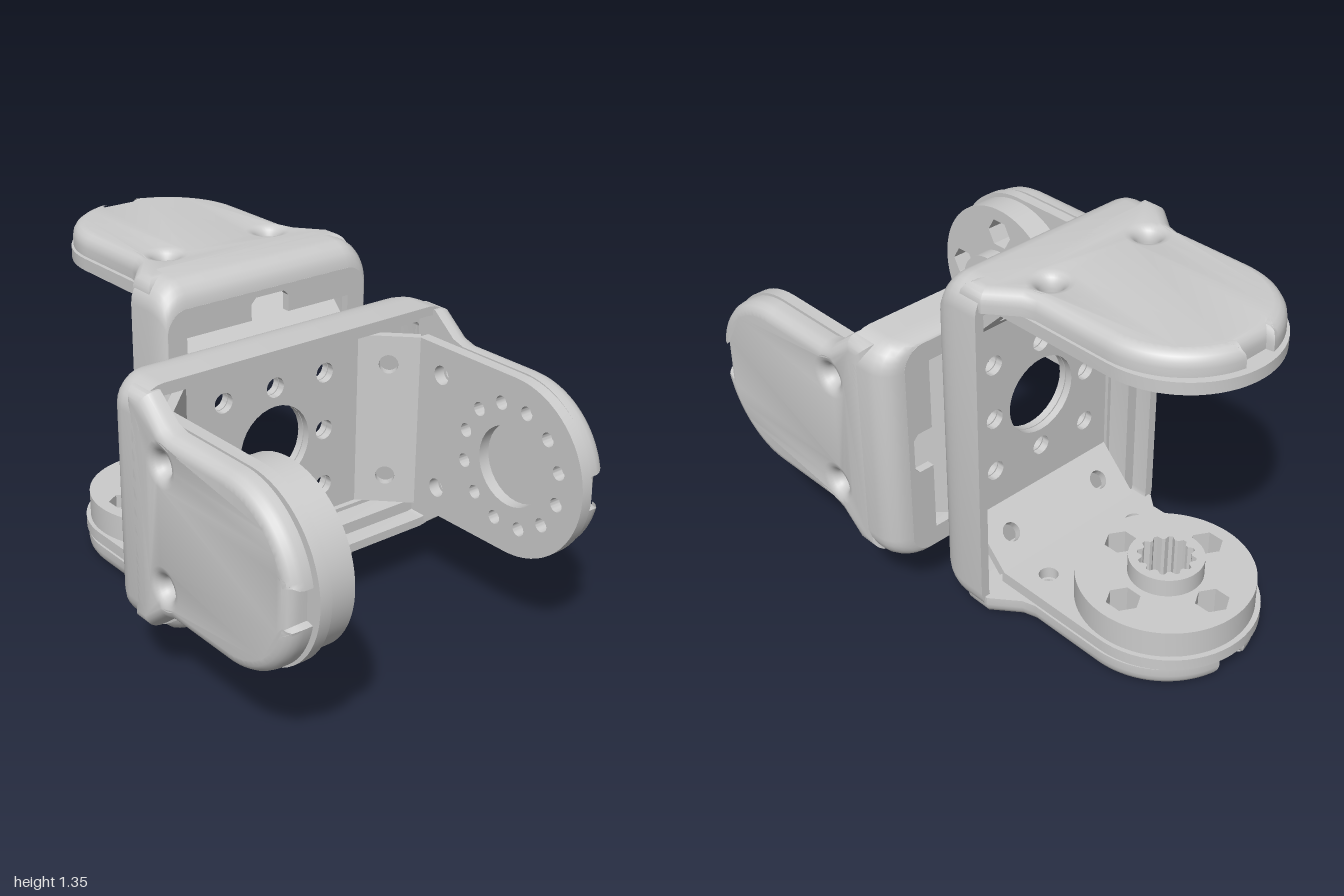
import * as THREE from 'three';
import { toCreasedNormals } from 'three/addons/utils/BufferGeometryUtils.js';

const material = new THREE.MeshStandardMaterial({ color: 0xcccccc });

function addMesh(parent, name, geometry) {
  const mesh = new THREE.Mesh(toCreasedNormals(geometry, 0.6), material);
  mesh.name = name;
  parent.add(mesh);
  return mesh;
}

const circle = (x, y, r) => new THREE.Path().absarc(x, y, r, 0, Math.PI * 2, true);

// Closed path of n points whose radius cycles through the given radii
function polygon(x, y, n, radii, PathClass = THREE.Path) {
  const pts = [];
  for (let i = 0; i < n; i++) {
    const a = -(i / n) * Math.PI * 2;
    const r = radii[i % radii.length];
    pts.push(new THREE.Vector2(x + r * Math.cos(a), y + r * Math.sin(a)));
  }
  return new PathClass(pts);
}

function rectangle(hx, hy, r = 0) {
  const s = new THREE.Shape();
  s.moveTo(hx, -hy + r);
  s.lineTo(hx, hy - r);
  if (r) s.absarc(hx - r, hy - r, r, 0, Math.PI / 2);
  s.lineTo(-hx + r, hy);
  if (r) s.absarc(-hx + r, hy - r, r, Math.PI / 2, Math.PI);
  s.lineTo(-hx, -hy + r);
  if (r) s.absarc(-hx + r, -hy + r, r, Math.PI, Math.PI * 1.5);
  s.lineTo(hx - r, -hy);
  if (r) s.absarc(hx - r, -hy + r, r, Math.PI * 1.5, Math.PI * 2);
  s.closePath();
  return s;
}

const extrude = (shape, depth, options = {}) =>
  new THREE.ExtrudeGeometry(shape, { depth, bevelEnabled: false, curveSegments: 16, ...options });

// Rim of the cover: rounded rectangles lofted up the outside and down a stepped inside
function rimGeometry() {
  const rings = [];
  for (let k = 0; k <= 5; k++) {
    const a = (k / 5) * Math.PI / 2;
    rings.push([0.09 * (1 - Math.sin(a)), 0.02 * (1 - Math.sin(a)), 0.09 * (1 - Math.cos(a))]);
  }
  rings.push([0, 0, 0.19], [0.035, 0.035, 0.19], [0.035, 0.035, 0.12], [0.08, 0.08, 0.12], [0.08, 0.08, 0.02]);
  const positions = [], index = [], steps = 6, n = 4 * (steps + 1);
  for (const [ix, iy, z] of rings) {
    const r = 0.1 - iy;
    for (let c = 0; c < 4; c++) {
      const sx = c === 0 || c === 3 ? 1 : -1, sy = c < 2 ? 1 : -1;
      for (let i = 0; i <= steps; i++) {
        const a = (c + i / steps) * Math.PI / 2;
        positions.push(sx * (0.675 - ix - r) + r * Math.cos(a), sy * (0.445 - iy - r) + r * Math.sin(a), z);
      }
    }
  }
  for (let k = 0; k < rings.length - 1; k++) {
    for (let i = 0; i < n; i++) {
      const a = k * n + i, b = k * n + (i + 1) % n;
      index.push(a, b, b + n, a, b + n, a + n);
    }
  }
  const g = new THREE.BufferGeometry();
  g.setAttribute('position', new THREE.Float32BufferAttribute(positions, 3));
  g.setIndex(index);
  return g;
}

// Floor of the cover with its window and two notches
function floorGeometry() {
  const shape = rectangle(0.588, 0.426, 0.08);
  const half = [[0.35, 0.485], [0.08, 0.485], [0.08, 0.545], [0.06, 0.565]];
  const top = half.map(([w, l]) => [l, w]);
  const upper = [...top, ...top.map(([x, y]) => [x, -y]).reverse()];
  const pts = [...upper, ...upper.map(([x, y]) => [-x, -y])];
  shape.holes.push(new THREE.Path(pts.map(([x, y]) => new THREE.Vector2(x, y))));
  return extrude(shape, 0.03);
}

// Arm cover: rounded on the outer face, flat inside, notched at the tip
function armCoverGeometry() {
  const s = new THREE.Shape(), b = 0.195, c = -0.65, r = 0.335;
  s.moveTo(-0.1, -0.43);
  s.lineTo(-0.1, 0.43);
  s.lineTo(-0.2, 0.43);
  s.lineTo(-0.3, 0.35);
  s.lineTo(-0.35, r);
  s.absarc(c, 0, r, Math.PI / 2, Math.PI - b);
  s.lineTo(-0.95, 0.06);
  s.lineTo(-0.95, -0.06);
  s.absarc(c, 0, r, Math.PI + b, Math.PI * 1.5);
  s.lineTo(-0.35, -r);
  s.lineTo(-0.3, -0.35);
  s.lineTo(-0.2, -0.43);
  s.closePath();
  for (const y of [-0.225, 0.225]) s.holes.push(circle(-0.305, y, 0.036));
  const g = extrude(s, 0.03, {
    bevelEnabled: true, bevelThickness: 0.05, bevelSize: 0.045, bevelOffset: -0.045, bevelSegments: 4,
  });
  const p = g.attributes.position;
  for (let i = 0; i < p.count; i++) p.setZ(i, Math.max(0, p.getZ(i)));
  return g.rotateY(Math.PI / 2).translate(0.595, 0, 0);
}

// Arm of the inner plate with a bearing hole and a ring of small holes
function armPlateGeometry() {
  const s = new THREE.Shape(), c = -0.665;
  s.moveTo(-0.18, -0.335);
  s.lineTo(-0.18, 0.335);
  s.absarc(c, 0, 0.335, Math.PI / 2, Math.PI * 1.5);
  s.closePath();
  for (const y of [-0.225, 0.225]) s.holes.push(circle(-0.305, y, 0.036));
  s.holes.push(circle(c, 0, 0.15));
  for (let i = 0; i < 12; i++) {
    const a = (i + 0.5) * Math.PI / 6;
    s.holes.push(circle(c + 0.23 * Math.cos(a), 0.23 * Math.sin(a), 0.026));
  }
  return extrude(s, 0.045).rotateY(Math.PI / 2).translate(0.54, 0, 0);
}

// Slanted strip joining plate base and plate arm
function bendGeometry() {
  const s = rectangle(0.1131, 0.335);
  for (const y of [-0.225, 0.225]) s.holes.push(circle(0, y, 0.036));
  return extrude(s, 0.035).rotateY(Math.PI * 0.75).translate(0.46, 0, 0.11);
}

function basePlateGeometry() {
  const s = rectangle(0.392, 0.335);
  s.holes.push(circle(0, 0, 0.153));
  for (const x of [-0.225, 0, 0.225]) {
    for (const y of [-0.225, 0, 0.225]) if (x || y) s.holes.push(circle(x, y, 0.038));
  }
  return extrude(s, 0.028).translate(0, 0, 0.002);
}

// Round horn with four hexagonal pockets and a splined hub
function addHorn(parent) {
  const c = -0.66;
  const disc = new THREE.Shape().absarc(c, 0, 0.32, 0, Math.PI * 2);
  disc.holes.push(circle(c, 0, 0.12));
  for (let i = 0; i < 4; i++) {
    const a = i * Math.PI / 2;
    disc.holes.push(polygon(c + 0.215 * Math.cos(a), 0.215 * Math.sin(a), 6, [0.062]));
  }
  addMesh(parent, 'hornDisc', extrude(disc, 0.105, { curveSegments: 48 }).rotateY(Math.PI / 2).translate(0.435, 0, 0));
  const hub = new THREE.Shape().absarc(c, 0, 0.135, 0, Math.PI * 2);
  hub.holes.push(polygon(c, 0, 48, [0.104, 0.104, 0.088, 0.088]));
  addMesh(parent, 'hornHub', extrude(hub, 0.175, { curveSegments: 32 }).rotateY(Math.PI / 2).translate(0.365, 0, 0));
}

// U-shaped bracket opening towards +z, with its horn on the -x arm
function createBracket(name) {
  const bracket = new THREE.Group();
  bracket.name = name;
  addMesh(bracket, 'coverRim', rimGeometry());
  addMesh(bracket, 'coverFloor', floorGeometry());
  addMesh(bracket, 'basePlate', basePlateGeometry());
  for (const hasHorn of [false, true]) {
    const arm = new THREE.Group();
    arm.name = hasHorn ? 'hornArm' : 'bearingArm';
    addMesh(arm, 'armCover', armCoverGeometry());
    addMesh(arm, 'armPlate', armPlateGeometry());
    addMesh(arm, 'plateBend', bendGeometry());
    if (hasHorn) {
      addHorn(arm);
      arm.rotation.z = Math.PI;
    }
    bracket.add(arm);
  }
  bracket.position.y = 0.678;
  return bracket;
}

export function createModel() {
  const model = new THREE.Group();
  model.name = 'doubleBracket';
  const front = createBracket('frontBracket');
  const back = createBracket('backBracket');
  // Half turn about the x-y diagonal: the back bracket faces -z with its arms above and below
  back.quaternion.set(Math.SQRT1_2, Math.SQRT1_2, 0, 0);
  model.add(front, back);
  return model;
}
